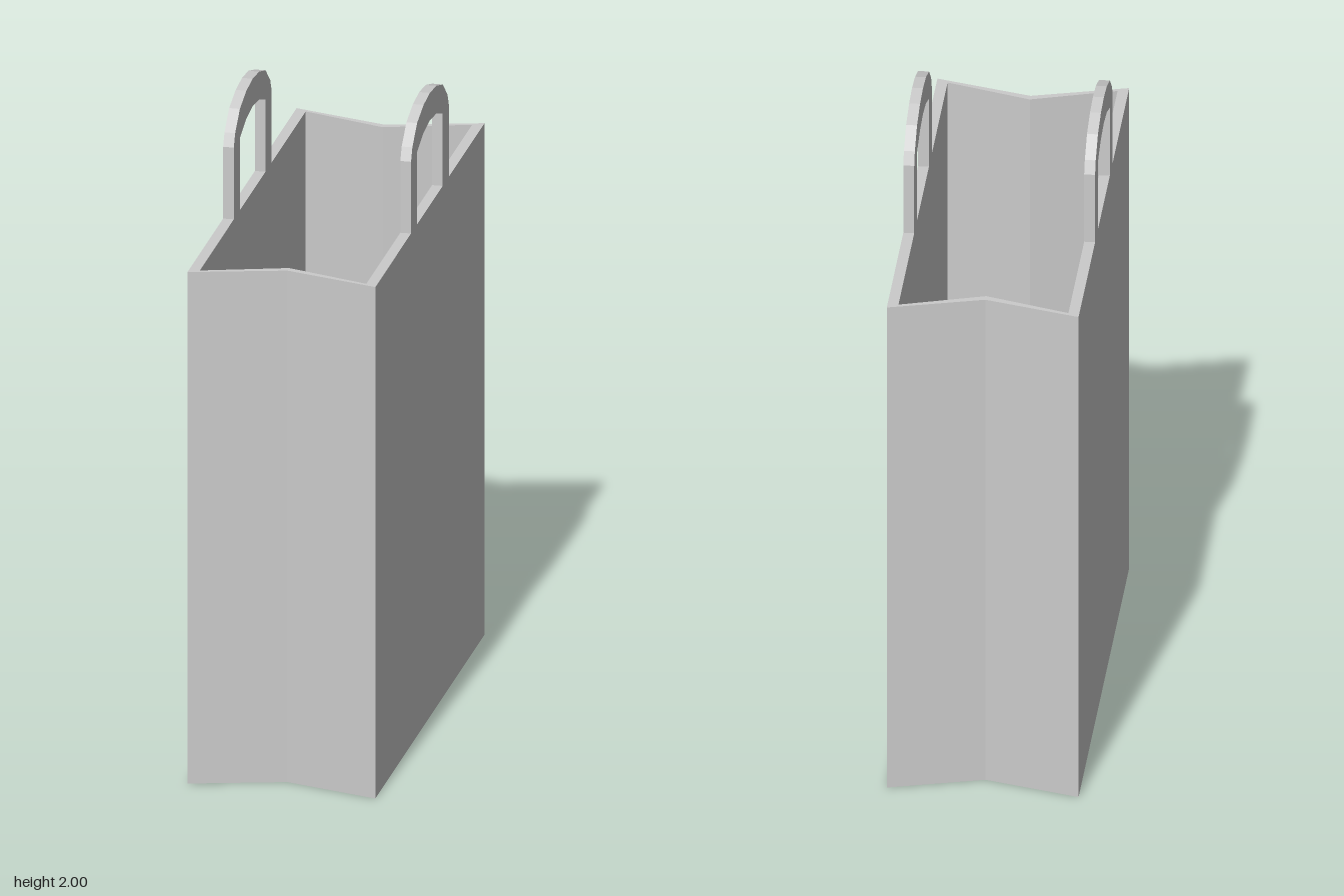
import * as THREE from 'three';

const HEIGHT = 1.64, FLOOR = 0.03, HALF_W = 0.29, WALL = 0.033;

const points = (list) => list.map(([x, y]) => new THREE.Vector2(x, y));

// Bag cross-section: a rectangle with both short sides folded inward
const outline = (x, zCorner, zFold) => points([
  [-x, -zCorner], [0, -zFold], [x, -zCorner],
  [x, zCorner], [0, zFold], [-x, zCorner],
]);

const extrude = (shape, depth) =>
  new THREE.ExtrudeGeometry(shape, { depth, bevelEnabled: false, steps: 1 });

export function createModel() {
  const group = new THREE.Group();
  const material = new THREE.MeshStandardMaterial({ color: 0xcccccc, flatShading: true });
  const add = (name, geometry) => {
    const mesh = new THREE.Mesh(geometry, material);
    mesh.name = name;
    group.add(mesh);
    return mesh;
  };

  const inner = outline(HALF_W - WALL, 0.708, 0.627);

  // Open-topped walls
  const wallShape = new THREE.Shape(outline(HALF_W, 0.73, 0.65));
  wallShape.holes.push(new THREE.Path(inner));
  add('bagWalls', extrude(wallShape, HEIGHT).rotateX(-Math.PI / 2));

  // Floor fitted between the walls
  add('bagFloor', extrude(new THREE.Shape(inner), FLOOR).rotateX(-Math.PI / 2));

  // Arched handles standing on the rims of the two broad walls
  const outerArc = [[0.253, HEIGHT], [0.253, 1.87], [0.235, 1.91], [0.172, 1.965], [0.085, 1.992]];
  const innerArc = [[0.171, HEIGHT], [0.171, 1.872], [0.085, 1.903]];
  const mirrored = (arc) => arc.map(([z, y]) => [-z, y]).reverse();
  const handleShape = new THREE.Shape(points([
    ...outerArc, [0, 2], ...mirrored(outerArc),
    ...mirrored(innerArc).reverse(), [0, 1.912], ...[...innerArc].reverse(),
  ]));
  const handle = extrude(handleShape, WALL).rotateY(Math.PI / 2);
  add('leftHandle', handle).position.x = HALF_W - WALL;
  add('rightHandle', handle).position.x = -HALF_W;

  return group;
}
